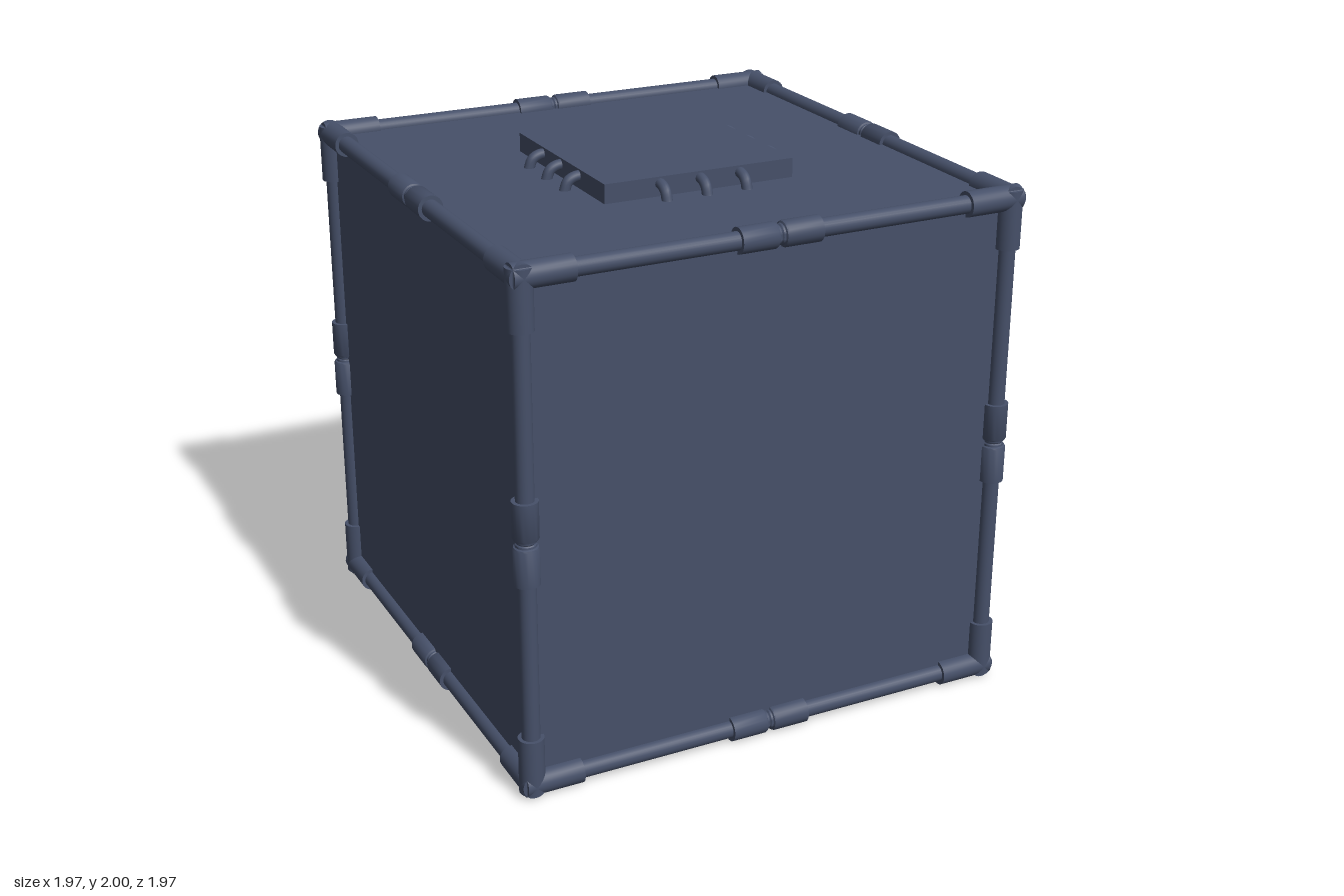
import * as THREE from 'three';
import { toCreasedNormals } from 'three/addons/utils/BufferGeometryUtils.js';

const HALF = 0.94;     // distance from the centre to each pipe axis
const PIPE_R = 0.033;
const JOINT_R = 0.047;
const MID_Y = 0.988;   // height of the cube centre

export function createModel() {
  const model = new THREE.Group();
  const material = new THREE.MeshStandardMaterial({ color: 0x465069 });
  const add = (parent, name, geometry) => {
    const mesh = new THREE.Mesh(geometry, material);
    mesh.name = name;
    parent.add(mesh);
    return mesh;
  };
  const lathe = (points) => toCreasedNormals(
    new THREE.LatheGeometry(points.map(([r, y]) => new THREE.Vector2(r, y)), 24), 0.6);

  // Cube panels
  add(model, 'body', new THREE.BoxGeometry(2 * HALF, 2 * HALF, 2 * HALF)).position.y = MID_Y;

  // One frame edge along y: pipe, two middle couplings, two corner sleeves
  const pipe = new THREE.CylinderGeometry(PIPE_R, PIPE_R, 2 * HALF, 24, 1, true);
  const coupling = lathe([
    [PIPE_R, 0], [0.037, 0.004], [0.038, 0.011], [0.044, 0.014],
    [JOINT_R, 0.02], [JOINT_R, 0.155], [PIPE_R, 0.155],
  ]);
  const over = JOINT_R * 0.68;   // sleeves run past the corner to close the joint
  const sleeve = lathe([
    [PIPE_R, 0.755], [JOINT_R, 0.755], [JOINT_R, HALF + over], [0, HALF + over],
  ].map(([r, y]) => [r, y]));
  const couplingEnd = coupling;

  const makeEdge = () => {
    const edge = new THREE.Group();
    edge.name = 'frameEdge';
    add(edge, 'pipe', pipe);
    for (const turn of [0, Math.PI]) {
      add(edge, 'coupling', couplingEnd).rotation.x = turn;
      add(edge, 'cornerSleeve', sleeve).rotation.x = turn;
    }
    return edge;
  };

  // Twelve edges: four along each axis
  const frame = new THREE.Group();
  frame.name = 'frame';
  frame.position.y = MID_Y;
  for (const a of [-HALF, HALF]) {
    for (const b of [-HALF, HALF]) {
      const upright = makeEdge();
      upright.position.set(a, 0, b);
      const across = makeEdge();
      across.rotation.z = Math.PI / 2;
      across.position.set(0, a, b);
      const deep = makeEdge();
      deep.rotation.x = Math.PI / 2;
      deep.position.set(a, b, 0);
      frame.add(upright, across, deep);

      // Rounded corner filling at both ends of the upright
      for (const y of [-HALF, HALF]) {
        add(frame, 'cornerBall', new THREE.SphereGeometry(JOINT_R, 20, 14)).position.set(a, y, b);
      }
    }
  }
  model.add(frame);

  // Square plate on the top with three bent pins on each side
  const top = MID_Y + HALF;
  const plateHeight = 2 - top;
  const chip = new THREE.Group();
  chip.name = 'chip';
  chip.position.y = top;
  add(chip, 'plate', new THREE.BoxGeometry(0.756, plateHeight, 0.756)).position.y = plateHeight / 2;

  const path = new THREE.CatmullRomCurve3([
    new THREE.Vector3(0.35, 0.046, 0), new THREE.Vector3(0.392, 0.045, 0),
    new THREE.Vector3(0.42, 0.03, 0), new THREE.Vector3(0.436, -0.01, 0),
  ]);
  const pin = new THREE.TubeGeometry(path, 12, 0.02, 12);
  for (let side = 0; side < 4; side++) {
    const row = new THREE.Group();
    row.name = 'pinRow';
    row.rotation.y = side * Math.PI / 2;
    for (const z of [-0.16, 0, 0.16]) add(row, 'pin', pin).position.z = z;
    chip.add(row);
  }
  model.add(chip);

  return model;
}
